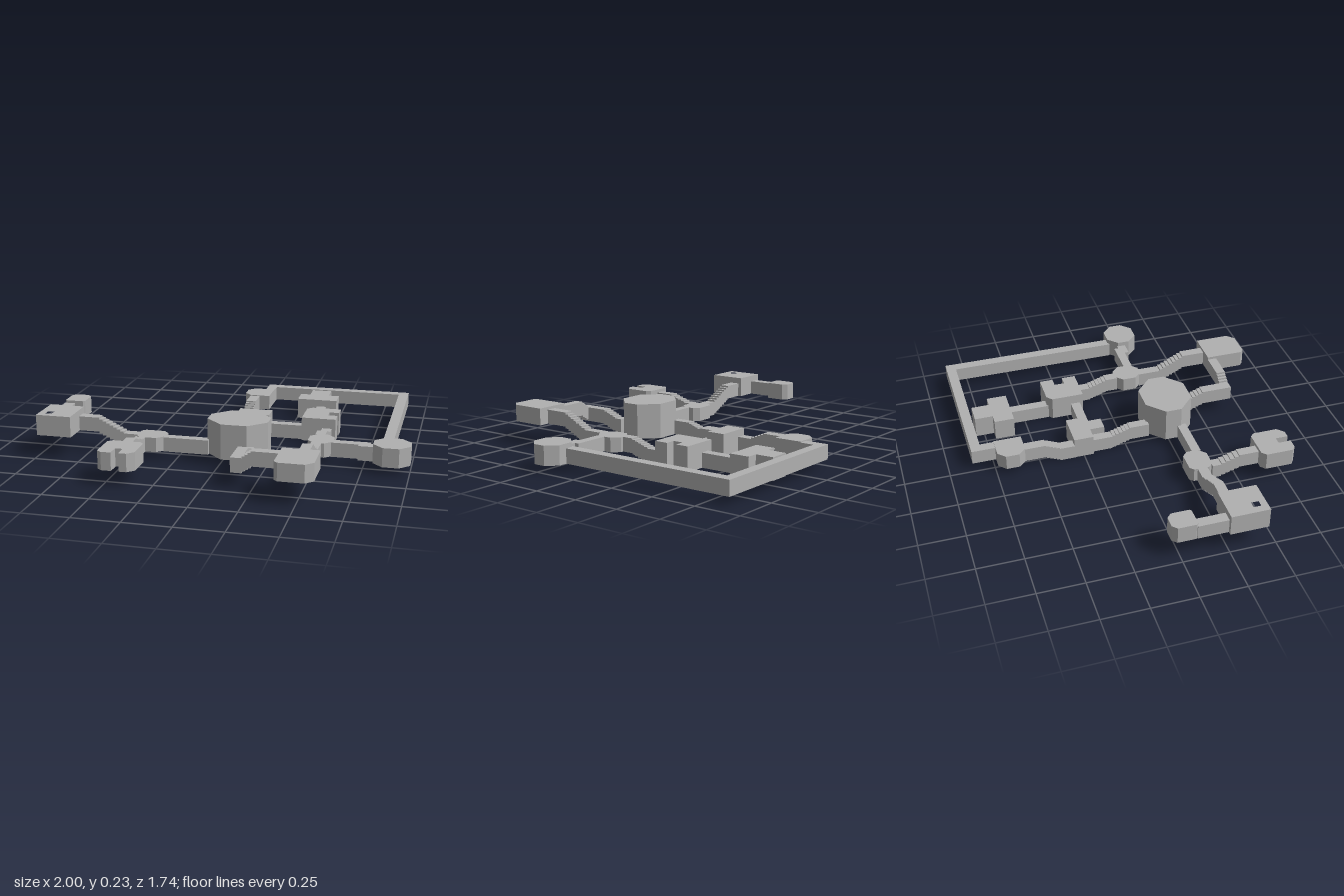
import * as THREE from 'three';

const H = 0.08; // passage height

// Rectangle footprint with cut corners: [back-left, back-right, front-right, front-left]
function cutRect(x0, x1, z0, z1, [bl, br, fr, fl] = [0, 0, 0, 0], kx = 1) {
  return [
    [x0, z0 + bl], [x0 + bl * kx, z0], [x1 - br * kx, z0], [x1, z0 + br],
    [x1, z1 - fr], [x1 - fr * kx, z1], [x0 + fl * kx, z1], [x0, z1 - fl],
  ].filter((p, i, a) => {
    const q = a[(i + 1) % a.length];
    return Math.hypot(p[0] - q[0], p[1] - q[1]) > 1e-6;
  });
}

// Room: floor plan [x, z] raised from y0 to y1, with optional shaft
function roomGeometry(plan, y0, y1, hole) {
  const toVec = ([x, z]) => new THREE.Vector2(x, -z);
  const shape = new THREE.Shape(plan.map(toVec));
  if (hole) shape.holes.push(new THREE.Path(hole.map(toVec)));
  const g = new THREE.ExtrudeGeometry(shape, { depth: y1 - y0, bevelEnabled: false });
  return g.rotateX(-Math.PI / 2).translate(0, y0, 0);
}

// Passage along an axis from a to b, between c0 and c1 across;
// stairs = [start, end, floor at a, floor at b, steps]
function passageGeometry(axis, a, b, c0, c1, floor, stairs) {
  const line = [[a, floor]];
  if (stairs) {
    const [s0, s1, ya, yb, n] = stairs;
    line[0][1] = ya;
    for (let i = 0; i < n; i++) {
      const s = s0 + (s1 - s0) * i / (n - 1);
      line.push([s, ya + (yb - ya) * i / n], [s, ya + (yb - ya) * (i + 1) / n]);
    }
    line.push([b, yb]);
  } else line.push([b, floor]);
  const roof = line.map(([s, y]) => [s, y + H]).reverse();
  const shape = new THREE.Shape([...line, ...roof].map(([s, y]) => new THREE.Vector2(s, y)));
  const g = new THREE.ExtrudeGeometry(shape, { depth: c1 - c0, bevelEnabled: false });
  return axis === 'x' ? g.translate(0, 0, c0) : g.rotateY(-Math.PI / 2).translate(c1, 0, 0);
}

export function createModel() {
  const model = new THREE.Group();
  model.name = 'dungeonLayout';
  const stone = new THREE.MeshStandardMaterial({ color: 0xb0b0b0, flatShading: true });
  stone.name = 'grey stone';
  const add = (name, geometry) => {
    const mesh = new THREE.Mesh(geometry, stone);
    mesh.name = name;
    model.add(mesh);
  };
  const room = (name, ...args) => add(name, roomGeometry(...args));
  const passage = (name, ...args) => add(name, passageGeometry(...args));

  // Central hall
  room('centralHall', cutRect(-0.08, 0.25, 0.125, 0.395, [0.09, 0.09, 0.09, 0.09], 1.05), 0.04, 0.235);

  // Left wing
  passage('hallToLeftJunction', 'x', -0.32, -0.07, 0.285, 0.335, 0.04);
  room('leftJunction', cutRect(-0.47, -0.315, 0.225, 0.357, [0.02, 0.03, 0.04, 0.025]), 0.04, 0.12);
  passage('leftStairs', 'x', -0.805, -0.46, 0.265, 0.32, 0.12, [-0.69, -0.55, 0.12, 0.04, 8]);
  room('leftRoom', cutRect(-1, -0.805, 0.245, 0.455), 0.12, 0.235,
    cutRect(-0.96, -0.925, 0.378, 0.418));
  passage('leftRoomPassage', 'z', 0.08, 0.25, -0.98, -0.922, 0.12);
  room('leftBackCell', cutRect(-0.98, -0.865, -0.05, 0.083, [0.025, 0.025, 0.01, 0.01]), 0.12, 0.215);
  passage('frontStairs', 'z', 0.35, 0.62, -0.472, -0.417, 0.04, [0.4, 0.5, 0.04, 0.08, 5]);
  room('leftFrontRoom', [
    [-0.53, 0.635], [-0.505, 0.612], [-0.355, 0.612], [-0.335, 0.635], [-0.335, 0.77], [-0.37, 0.805],
    [-0.412, 0.805], [-0.412, 0.735], [-0.452, 0.735], [-0.452, 0.805], [-0.505, 0.805], [-0.53, 0.785],
  ], 0.08, 0.178);

  // Front wing
  passage('hallFrontStairs', 'z', 0.385, 0.687, 0.135, 0.192, 0.04, [0.43, 0.51, 0.04, 0.08, 5]);
  passage('frontCrossStairs', 'x', 0.135, 0.4, 0.635, 0.687, 0.08, [0.195, 0.24, 0.08, 0.12, 4]);
  room('frontRoom', cutRect(0.39, 0.585, 0.635, 0.865, [0, 0, 0.04, 0.02]), 0.12, 0.215);
  passage('frontRoomStairs', 'z', 0.23, 0.64, 0.47, 0.525, 0.04, [0.36, 0.5, 0.04, 0.12, 8]);

  // Right wing
  room('rightJunction', cutRect(0.447, 0.582, 0.083, 0.24, [0.04, 0.04, 0.04, 0.04]), 0.04, 0.12);
  passage('rightPassage', 'x', 0.575, 0.782, 0.165, 0.215, 0.04);
  passage('rightPassageOffset', 'x', 0.722, 0.81, 0.19, 0.24, 0.04);
  room('rightRoom', cutRect(0.803, 1, 0.142, 0.32, [0.055, 0.055, 0.055, 0.055]), 0.04, 0.145);

  // Long outer gallery
  passage('outerGallerySide', 'z', -0.87, 0.15, 0.84, 0.897, 0.04);
  passage('outerGalleryBack', 'x', 0.02, 0.897, -0.87, -0.815, 0.04);
  passage('outerGalleryEnd', 'z', -0.87, -0.73, 0.02, 0.075, 0.04);
  room('backRoom', cutRect(-0.08, 0.075, -0.738, -0.583, [0.04, 0, 0, 0.04]), 0.04, 0.125);

  // Lower back rooms
  passage('hallBackStairs', 'z', -0.2, 0.135, -0.02, 0.032, 0, [-0.08, 0.02, 0, 0.04, 6]);
  room('lowerLeftRoom', [
    [-0.04, -0.305], [0.152, -0.305], [0.152, -0.195], [0.112, -0.195], [0.112, -0.113],
    [0.032, -0.113], [0.032, -0.195], [-0.04, -0.195],
  ], 0, 0.12);
  passage('backStairs', 'z', -0.59, -0.3, -0.042, 0.015, 0, [-0.465, -0.39, 0.04, 0, 5]);
  passage('lowerPassage', 'x', 0.13, 0.36, -0.225, -0.172, 0);
  room('lowerRightRoom', [
    [0.352, -0.335], [0.382, -0.363], [0.545, -0.363], [0.545, -0.288], [0.49, -0.288],
    [0.49, -0.23], [0.545, -0.23], [0.545, -0.152], [0.352, -0.152],
  ], 0, 0.135);
  passage('crossRoomPassage', 'z', -0.59, -0.355, 0.37, 0.425, 0);
  room('crossRoom', [
    [0.31, -0.797], [0.425, -0.797], [0.425, -0.695], [0.487, -0.695],
    [0.487, -0.583], [0.253, -0.583], [0.253, -0.695], [0.31, -0.695],
  ], 0, 0.12);
  passage('lowerRightStairs', 'z', -0.16, 0.09, 0.47, 0.525, 0, [-0.08, 0.02, 0, 0.04, 6]);

  return model;
}
